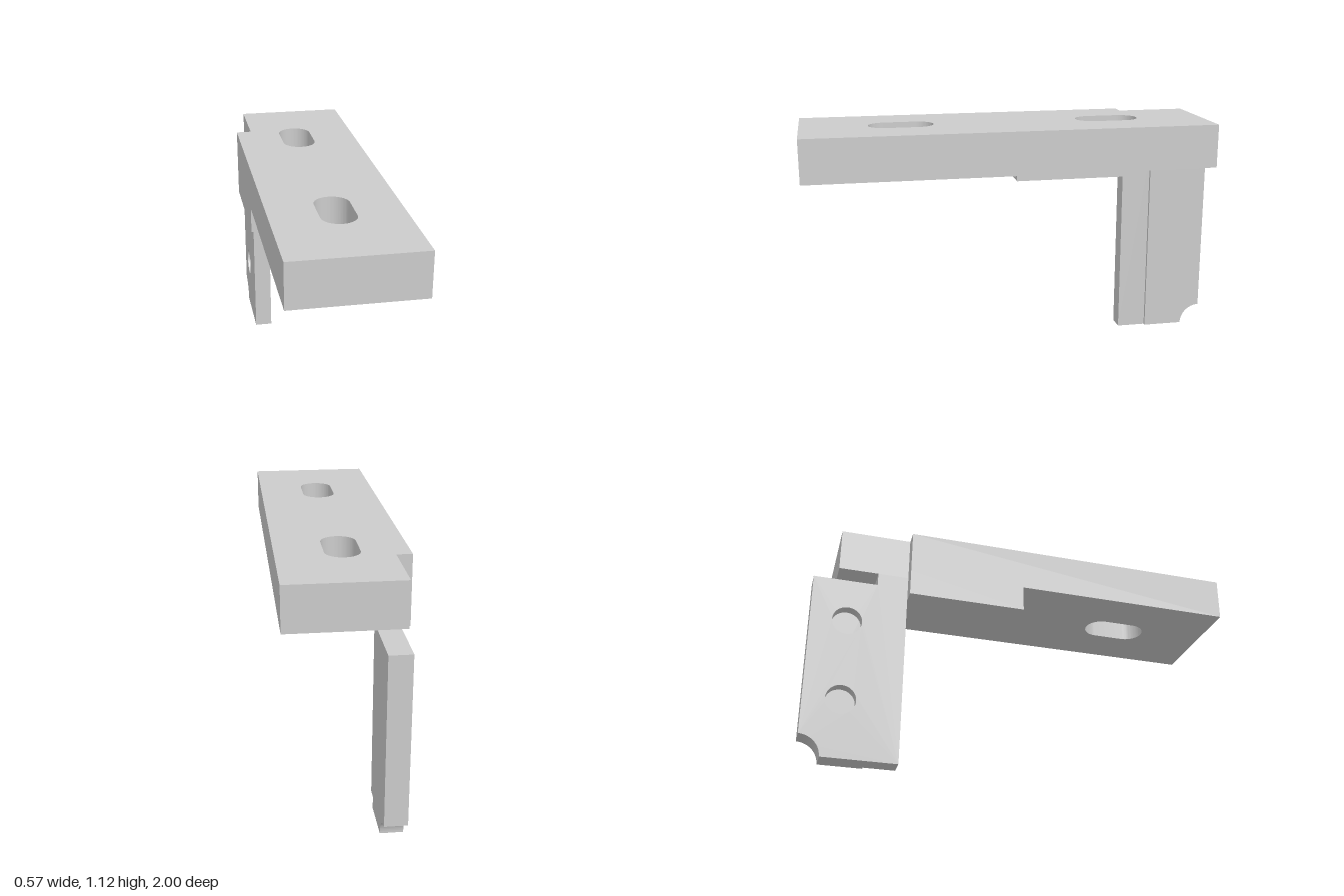
import * as THREE from 'three';
import { toCreasedNormals } from 'three/addons/utils/BufferGeometryUtils.js';

const material = new THREE.MeshStandardMaterial({ color: 0xcccccc });

function polygon(points) {
  return new THREE.Shape(points.map(([a, b]) => new THREE.Vector2(a, b)));
}

function extrude(shape, depth) {
  const geometry = new THREE.ExtrudeGeometry(shape, { depth, bevelEnabled: false, curveSegments: 24 });
  return toCreasedNormals(geometry, 0.6);
}

function addPart(group, name, geometry) {
  const mesh = new THREE.Mesh(geometry, material);
  mesh.name = name;
  group.add(mesh);
}

// Shape drawn in (x, z), extruded downward from yTop to yBottom
function horizontalSlab(shape, yBottom, yTop) {
  return extrude(shape, yTop - yBottom).rotateX(Math.PI / 2).translate(0, yTop, 0);
}

// Shape drawn in (z, y), extruded from x0 to x1
function uprightSlab(shape, x0, x1) {
  return extrude(shape, x1 - x0).rotateY(-Math.PI / 2).translate(x1, 0, 0);
}

// Rounded slot running along z
function slot(z0, z1, r) {
  const path = new THREE.Path();
  path.absarc(0, z1 - r, r, 0, Math.PI, false);
  path.absarc(0, z0 + r, r, Math.PI, 2 * Math.PI, false);
  path.closePath();
  return path;
}

// Upright profile in (z, y); the back foot is scooped by a quarter circle
function uprightProfile(zFront, withNeck) {
  const shape = new THREE.Shape();
  shape.moveTo(zFront, 0);
  if (withNeck) {
    shape.lineTo(zFront, 0.92);
    shape.lineTo(-0.71, 0.92);
    shape.lineTo(-0.71, 0.86);
  } else {
    shape.lineTo(zFront, 0.86);
  }
  shape.lineTo(-1, 0.86);
  shape.lineTo(-1, 0.095);
  shape.absarc(-1, 0, 0.095, Math.PI / 2, 0, true);
  shape.closePath();
  return shape;
}

export function createModel() {
  const model = new THREE.Group();
  model.name = 'mountingBracket';

  // Top plate with a notched rear corner and two slots
  const plate = polygon([
    [-0.285, 1], [0.285, 1], [0.285, -0.89], [-0.215, -0.89], [-0.215, -0.57], [-0.285, -0.57],
  ]);
  plate.holes.push(slot(-0.585, -0.285, 0.077), slot(0.39, 0.69, 0.077));
  addPart(model, 'topPlate', horizontalSlab(plate, 0.92, 1.12));

  // Reinforcing rail under the plate edge
  const rail = polygon([[-0.285, -0.03], [-0.13, -0.03], [-0.13, -0.57], [-0.285, -0.57]]);
  addPart(model, 'underRail', horizontalSlab(rail, 0.8, 0.92));

  // Upright leg: outer layer carries two blind holes, inner layer closes them
  const outer = uprightProfile(-0.57, true);
  for (const y of [0.27, 0.655]) {
    const hole = new THREE.Path();
    hole.absarc(-0.835, y, 0.067, 0, 2 * Math.PI, false);
    outer.holes.push(hole);
  }
  addPart(model, 'legOuterLayer', uprightSlab(outer, -0.215, -0.165));
  addPart(model, 'legInnerLayer', uprightSlab(uprightProfile(-0.57, true), -0.165, -0.13));

  // Raised pad on the inner face of the leg
  addPart(model, 'legPad', uprightSlab(uprightProfile(-0.71, false), -0.13, -0.115));

  return model;
}
